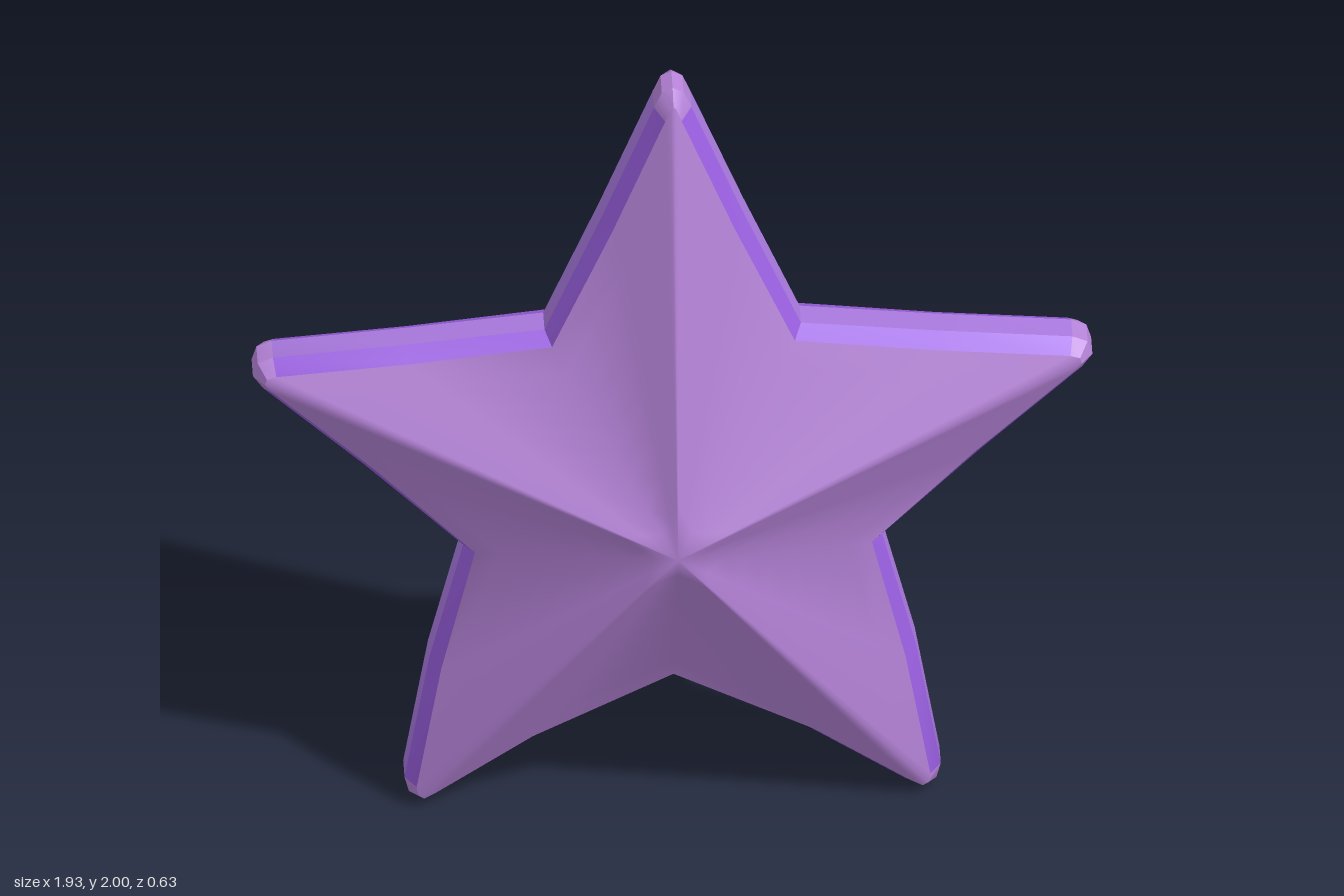
import * as THREE from 'three';
import { toCreasedNormals } from 'three/addons/utils/BufferGeometryUtils.js';

// Right half of the outline, from the top tip down to the bottom notch: x, y, 1 = on a rounded tip
const HALF = [
  [0, 2, 1], [0.025, 1.988, 1], [0.043, 1.945, 1], [0.165, 1.635, 0], [0.295, 1.323, 0],
  [0.61, 1.29, 0], [0.92, 1.263, 1], [0.955, 1.248, 1], [0.966, 1.212, 1], [0.942, 1.177, 1],
  [0.71, 0.953, 0], [0.482, 0.717, 0], [0.56, 0.4, 0], [0.617, 0.06, 1], [0.607, 0.02, 1],
  [0.575, 0.002, 1], [0.535, 0.02, 1], [0.31, 0.175, 0], [0, 0.338, 0],
];
const APEX = { y: 0.86, z: 0.315 };
const INSET = 0.026, RIM_Z = 0.075, BAND_Z = 0.033;

// Full outline, counter-clockwise seen from the front
function outline() {
  const left = HALF.slice(1, -1).map(([x, y, t]) => [-x, y, t]);
  return [...left, ...HALF.slice().reverse()];
}

// Move every outline point inwards along its averaged edge normal
function inset(points, d) {
  const n = points.length;
  return points.map(([x, y, t], i) => {
    const a = points[(i + n - 1) % n], b = points[(i + 1) % n];
    const n1 = new THREE.Vector2(y - a[1], a[0] - x).normalize();
    const n2 = new THREE.Vector2(b[1] - y, x - b[0]).normalize();
    const m = n1.add(n2).normalize();
    return [x - m.x * d, y - m.y * d, t];
  });
}

function indexed(positions, index) {
  const g = new THREE.BufferGeometry();
  g.setAttribute('position', new THREE.Float32BufferAttribute(positions, 3));
  g.setIndex(index);
  g.computeVertexNormals();
  return g;
}

// Faceted dome rising from the outline to the apex; side is 1 for front, -1 for back
function domeGeometry(edge, side) {
  const n = edge.length, rings = 8, pos = [0, APEX.y, side * APEX.z], idx = [];
  const tri = (a, b, c) => (side > 0 ? idx.push(a, b, c) : idx.push(a, c, b));
  for (let r = 1; r <= rings; r++) {
    const t = r / rings;
    for (const [x, y] of edge) {
      pos.push(x * t, THREE.MathUtils.lerp(APEX.y, y, t), side * THREE.MathUtils.lerp(APEX.z, RIM_Z, t));
    }
  }
  for (let i = 0; i < n; i++) {
    const j = (i + 1) % n;
    tri(0, 1 + i, 1 + j);
    for (let r = 1; r < rings; r++) {
      const a = 1 + (r - 1) * n, b = 1 + r * n;
      tri(a + i, b + i, b + j);
      tri(a + i, b + j, a + j);
    }
  }
  return indexed(pos, idx);
}

// One strip around the rim between two outlines; group 0 = arm sides, group 1 = tips
function bandGeometry(front, zf, back, zb) {
  const n = front.length, pos = [], sides = [], tips = [];
  front.forEach(([x, y]) => pos.push(x, y, zf));
  back.forEach(([x, y]) => pos.push(x, y, zb));
  for (let i = 0; i < n; i++) {
    const j = (i + 1) % n;
    const list = front[i][2] && front[j][2] ? tips : sides;
    list.push(i, n + i, n + j, i, n + j, j);
  }
  const g = toCreasedNormals(indexed(pos, [...sides, ...tips]), 0.7);
  g.clearGroups();
  g.addGroup(0, sides.length, 0);
  g.addGroup(sides.length, tips.length, 1);
  return g;
}

export function createModel() {
  const material = (name, color) => {
    const m = new THREE.MeshStandardMaterial({ color });
    m.name = name;
    return m;
  };
  const lilac = material('lilac', 0xb583d8);
  const violet = material('violet', 0x9a5fe0);
  const midPurple = material('midPurple', 0xa878dd);

  const star = new THREE.Group();
  star.name = 'star';
  const add = (name, geometry, mat) => {
    const mesh = new THREE.Mesh(geometry, mat);
    mesh.name = name;
    star.add(mesh);
  };

  const outer = outline(), inner = inset(outer, INSET);

  // Raised five-armed faces
  add('frontFace', domeGeometry(inner, 1), lilac);
  add('backFace', domeGeometry(inner, -1), lilac);

  // Bevelled rim
  add('frontBevel', bandGeometry(inner, RIM_Z, outer, BAND_Z), [violet, lilac]);
  add('rimBand', bandGeometry(outer, BAND_Z, outer, -BAND_Z), [midPurple, lilac]);
  add('backBevel', bandGeometry(outer, -BAND_Z, inner, -RIM_Z), [violet, lilac]);

  return star;
}
